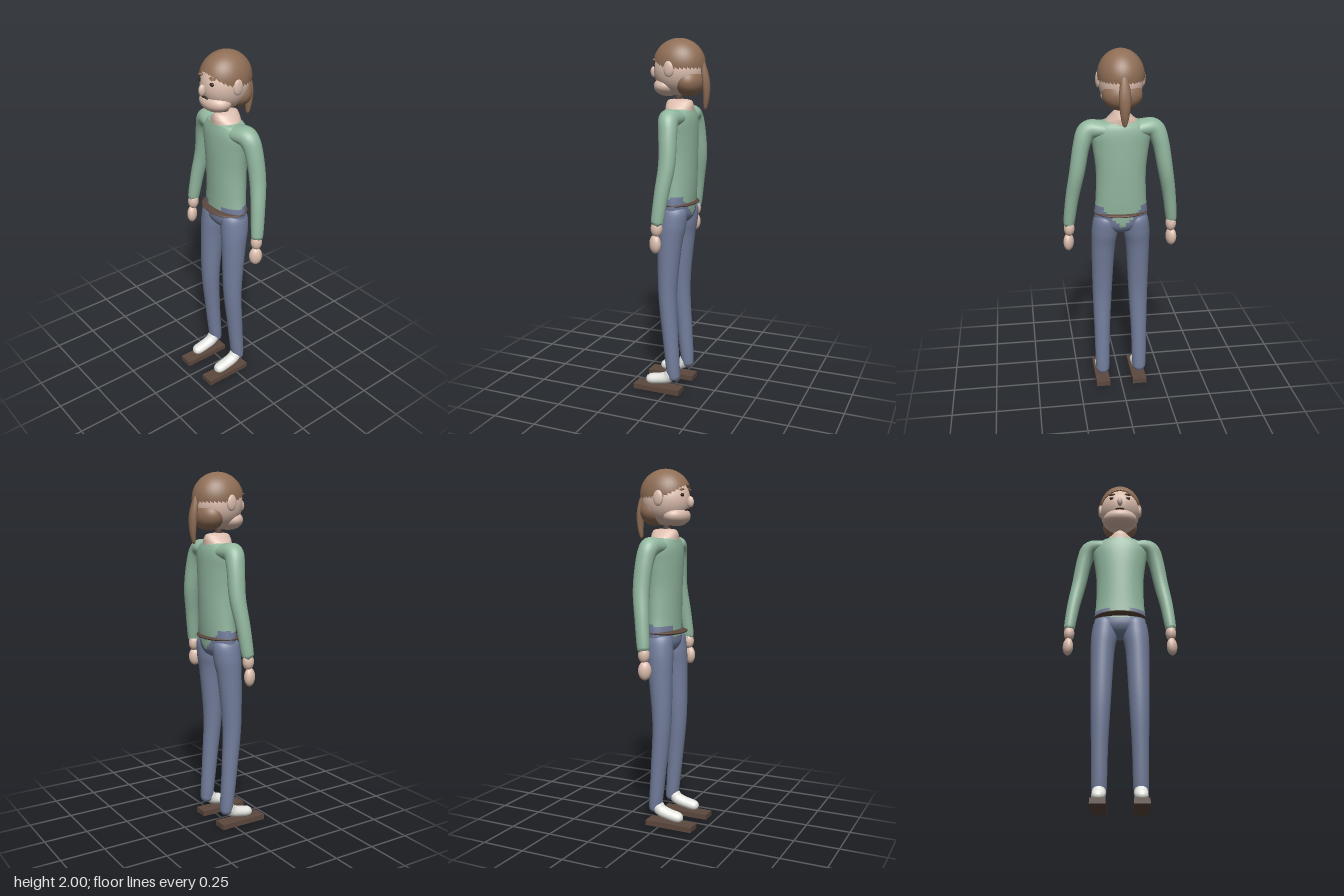
import * as THREE from 'three';

const material = (name, color) => Object.assign(new THREE.MeshStandardMaterial({ color }), { name });

// Smooth tube through stations [x, y, z, radiusAcross, radiusAlongRef]; rule picks a material per face.
function tube(stations, { ref = [0, 0, 1], sides = 28, steps = 6, rule = () => 0, count = 1 } = {}) {
  const spline = (pts) => new THREE.CatmullRomCurve3(pts, false, 'catmullrom', 0.5);
  const path = spline(stations.map((s) => new THREE.Vector3(s[0], s[1], s[2])));
  const size = spline(stations.map((s) => new THREE.Vector3(s[3], s[4], 0)));
  const rows = (stations.length - 1) * steps;
  const pos = [];
  for (let i = 0; i <= rows; i++) {
    const c = path.getPoint(i / rows);
    const r = size.getPoint(i / rows);
    const t = path.getTangent(i / rows);
    const w = new THREE.Vector3(...ref);
    w.addScaledVector(t, -w.dot(t)).normalize();
    const u = new THREE.Vector3().crossVectors(w, t);
    for (let j = 0; j < sides; j++) {
      const a = (j / sides) * Math.PI * 2;
      const p = c.clone()
        .addScaledVector(u, Math.max(r.x, 0) * Math.cos(a))
        .addScaledVector(w, Math.max(r.y, 0) * Math.sin(a));
      pos.push(p.x, p.y, p.z);
    }
  }
  const lists = Array.from({ length: count }, () => []);
  const mid = (ids, k) => ids.reduce((sum, id) => sum + pos[id * 3 + k], 0) / ids.length;
  for (let i = 0; i < rows; i++) {
    for (let j = 0; j < sides; j++) {
      const a = i * sides + j;
      const b = i * sides + ((j + 1) % sides);
      const quad = [a, b, b + sides, a + sides];
      lists[rule(mid(quad, 0), mid(quad, 1), mid(quad, 2))]
        .push(a, b, a + sides, b, b + sides, a + sides);
    }
  }
  const geo = new THREE.BufferGeometry();
  geo.setAttribute('position', new THREE.Float32BufferAttribute(pos, 3));
  geo.setIndex(lists.flat());
  let start = 0;
  if (count > 1) {
    lists.forEach((list, k) => {
      geo.addGroup(start, list.length, k);
      start += list.length;
    });
  }
  geo.computeVertexNormals();
  return geo;
}

// Hair cap: sphere whose rim rises towards the forehead.
function capGeometry() {
  const geo = new THREE.SphereGeometry(1, 40, 20);
  const p = geo.attributes.position;
  for (let i = 0; i < p.count; i++) {
    const angle = Math.atan2(p.getZ(i), p.getX(i));
    const front = Math.max(0, Math.sin(angle));
    const end = Math.acos(-0.16 + 0.5 * front * front);
    const polar = (Math.acos(THREE.MathUtils.clamp(p.getY(i), -1, 1)) / Math.PI) * end;
    p.setXYZ(i, Math.sin(polar) * Math.cos(angle), Math.cos(polar), Math.sin(polar) * Math.sin(angle));
  }
  geo.setAttribute('normal', p.clone());
  return geo.scale(0.125, 0.14, 0.145);
}

export function createModel() {
  const model = new THREE.Group();
  const skin = material('skin', 0xdcbeae);
  const hair = material('hair', 0x8f6e56);
  const shirt = material('shirt green', 0x92b79f);
  const denim = material('denim', 0x737e9c);
  const white = material('shoe white', 0xe6e6e2);
  const leather = material('dark leather', 0x5c483e);
  const dark = material('dark features', 0x33281f);
  hair.side = THREE.DoubleSide;

  const add = (name, geo, mat, x = 0, y = 0, z = 0) => {
    const mesh = new THREE.Mesh(geo, mat);
    mesh.name = name;
    mesh.position.set(x, y, z);
    model.add(mesh);
    return mesh;
  };
  const ball = (name, mat, [x, y, z], [rx, ry, rz], seg = 24) =>
    add(name, new THREE.SphereGeometry(1, seg, Math.ceil(seg * 0.7)).scale(rx, ry, rz), mat, x, y, z);

  // Head
  ball('skull', skin, [0, 1.83, -0.02], [0.118, 0.135, 0.135], 36);
  ball('jaw', skin, [0, 1.745, 0.04], [0.1, 0.055, 0.075], 32);
  ball('nose', skin, [0, 1.82, 0.124], [0.016, 0.031, 0.021]);
  add('hairCap', capGeometry(), hair, 0, 1.86, -0.025);
  ball('backHair', hair, [0, 1.77, -0.085], [0.106, 0.08, 0.08], 32);
  add('ponytail', tube([
    [0, 1.885, -0.155, 0, 0], [0, 1.87, -0.16, 0.018, 0.012], [0, 1.78, -0.178, 0.032, 0.02],
    [0, 1.7, -0.182, 0.026, 0.018], [0, 1.635, -0.176, 0.013, 0.01], [0, 1.62, -0.174, 0, 0],
  ], { sides: 10, steps: 4 }), hair);

  // Neck
  add('neck', tube([
    [0, 1.58, -0.028, 0.1, 0.078], [0, 1.62, -0.028, 0.088, 0.078], [0, 1.65, -0.028, 0.06, 0.077],
    [0, 1.672, -0.028, 0.033, 0.062], [0, 1.679, -0.028, 0, 0],
  ]), skin);
  add('neckPeg', new THREE.CylinderGeometry(0.02, 0.02, 0.05, 16), leather, 0, 1.685, -0.02);

  // Torso, with the jeans' waist dipping at the front and in a V at the back
  add('torso', tube([
    [0, 0.985, -0.025, 0, 0], [0, 1.0, -0.025, 0.08, 0.05], [0, 1.04, -0.026, 0.135, 0.078],
    [0, 1.1, -0.028, 0.148, 0.083], [0, 1.2, -0.031, 0.14, 0.087], [0, 1.35, -0.031, 0.138, 0.091],
    [0, 1.48, -0.029, 0.153, 0.092], [0, 1.56, -0.029, 0.165, 0.089], [0, 1.605, -0.028, 0.14, 0.08],
    [0, 1.625, -0.028, 0.09, 0.066], [0, 1.628, -0.028, 0, 0],
  ], {
    sides: 48, steps: 8, count: 2,
    rule: (x, y, z) => {
      const side = Math.abs(x);
      const waist = z > -0.03 ? (side > 0.06 ? 1.15 : 1.085) : Math.min(1.03 + side * 1.1, 1.16);
      return y < waist ? 1 : 0;
    },
  }), [shirt, denim]);
  ball('belt', leather, [0, 1.107, -0.02], [0.152, 0.018, 0.112], 36);

  for (const s of [1, -1]) {
    const side = s > 0 ? 'left' : 'right';

    // Face details
    ball(side + 'Ear', skin, [s * 0.119, 1.84, -0.012], [0.014, 0.043, 0.029]);
    ball(side + 'Eye', dark, [s * 0.048, 1.857, 0.099], [0.014, 0.01, 0.009], 14);
    const brow = ball(side + 'Brow', hair, [s * 0.048, 1.886, 0.097], [0.02, 0.006, 0.012], 14);
    brow.rotation.z = -s * 0.15;
    const lip = ball(side + 'Lip', dark, [s * 0.012, 1.779, 0.108], [0.015, 0.006, 0.007], 14);
    lip.rotation.z = -s * 0.25;

    // Sleeve
    add(side + 'Sleeve', tube([
      [s * 0.03, 1.565, -0.03, 0.045, 0.07], [s * 0.12, 1.582, -0.032, 0.047, 0.066],
      [s * 0.18, 1.572, -0.036, 0.054, 0.055], [s * 0.214, 1.5, -0.046, 0.046, 0.05],
      [s * 0.242, 1.35, -0.052, 0.042, 0.046], [s * 0.27, 1.2, -0.034, 0.037, 0.04],
      [s * 0.288, 1.06, -0.018, 0.032, 0.035], [s * 0.289, 1.045, -0.017, 0.026, 0.028],
      [s * 0.289, 1.042, -0.017, 0, 0],
    ]), shirt);

    // Hand
    ball(side + 'Wrist', skin, [s * 0.289, 1.012, -0.013], [0.03, 0.045, 0.032]);
    const hand = ball(side + 'Hand', skin, [s * 0.293, 0.928, -0.006], [0.028, 0.052, 0.036]);
    hand.rotation.y = -s * 0.5;

    // Trouser leg
    add(side + 'TrouserLeg', tube([
      [s * 0.085, 1.105, -0.027, 0, 0], [s * 0.085, 1.085, -0.027, 0.058, 0.07],
      [s * 0.09, 1.0, -0.02, 0.073, 0.079], [s * 0.099, 0.88, -0.009, 0.066, 0.069],
      [s * 0.105, 0.6, 0.002, 0.056, 0.053], [s * 0.109, 0.35, -0.015, 0.046, 0.045],
      [s * 0.11, 0.13, -0.034, 0.041, 0.038], [s * 0.11, 0.085, -0.039, 0.03, 0.029],
      [s * 0.11, 0.072, -0.038, 0, 0],
    ]), denim);

    // Shoe and flat sole plate
    add(side + 'Shoe', tube([
      [s * 0.11, 0.13, -0.036, 0, 0], [s * 0.11, 0.12, -0.03, 0.034, 0.034],
      [s * 0.11, 0.088, 0.0, 0.034, 0.036], [s * 0.11, 0.072, 0.05, 0.031, 0.036],
      [s * 0.11, 0.062, 0.105, 0.029, 0.034], [s * 0.11, 0.06, 0.128, 0.018, 0.021],
      [s * 0.11, 0.06, 0.135, 0, 0],
    ], { ref: [1, 0, 0] }), white);
    add(side + 'Sole', new THREE.BoxGeometry(0.082, 0.03, 0.282), leather, s * 0.11, 0.015, 0.06);
  }
  return model;
}
